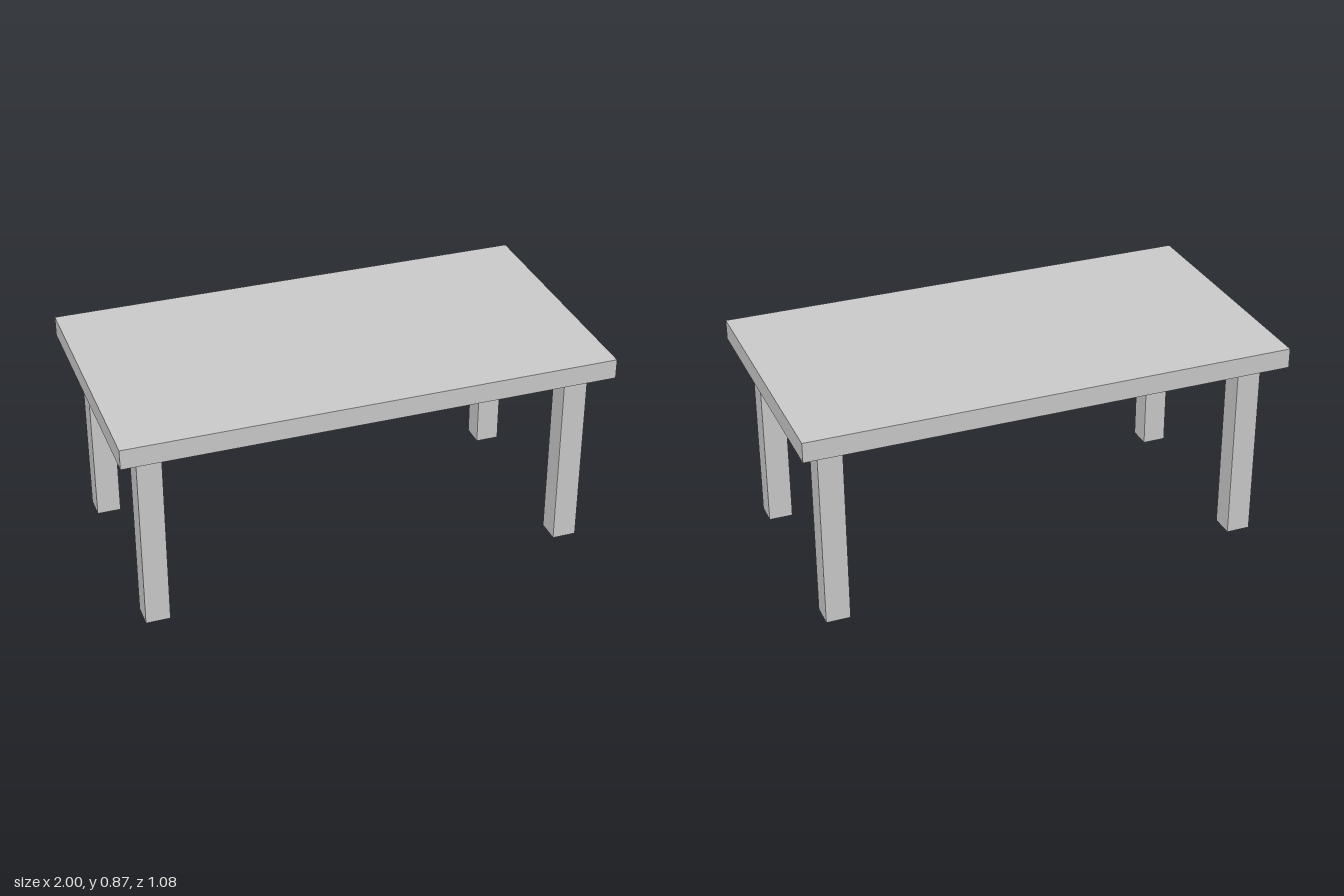
import * as THREE from 'three';

const WIDTH = 2, DEPTH = 1.076, HEIGHT = 0.865, THICKNESS = 0.082;
const LEG = 0.099, LEG_X = 0.873, LEG_Z = 0.402;

export function createModel() {
  const table = new THREE.Group();
  table.name = 'table';
  const material = new THREE.MeshStandardMaterial({ color: 0xcccccc });

  // Table top slab
  const top = new THREE.Mesh(new THREE.BoxGeometry(WIDTH, THICKNESS, DEPTH), material);
  top.name = 'tableTop';
  top.position.y = HEIGHT - THICKNESS / 2;
  table.add(top);

  // Four square legs, inset from the corners
  const legHeight = HEIGHT - THICKNESS;
  const legGeometry = new THREE.BoxGeometry(LEG, legHeight, LEG);
  for (const [end, sz] of [['front', 1], ['back', -1]]) {
    for (const [side, sx] of [['Left', 1], ['Right', -1]]) {
      const leg = new THREE.Mesh(legGeometry, material);
      leg.name = `${end}${side}Leg`;
      leg.position.set(sx * LEG_X, legHeight / 2, sz * LEG_Z);
      table.add(leg);
    }
  }
  return table;
}
